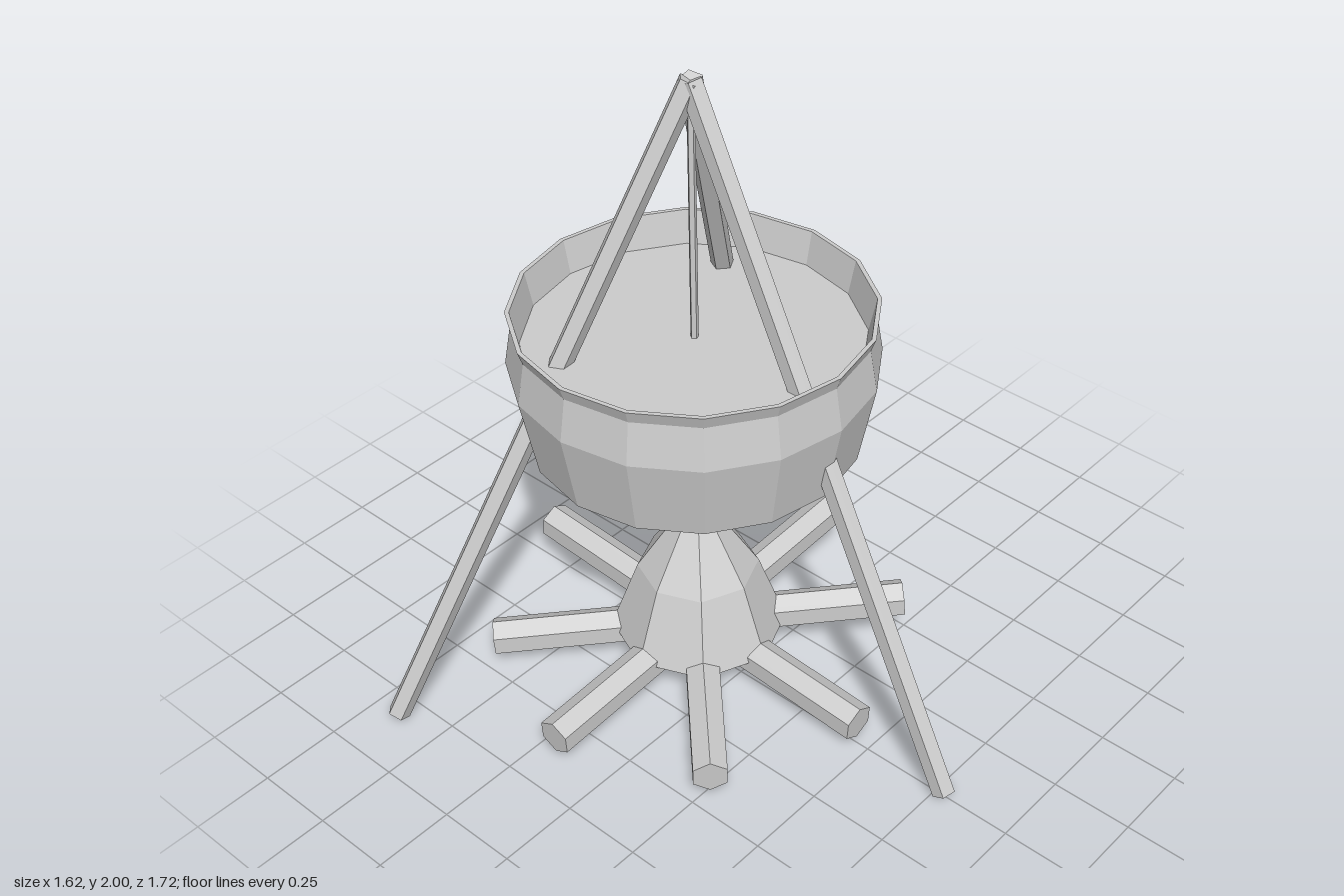
import * as THREE from 'three';

const CENTER_X = -0.174;
const BROTH_Y = 1.185;

export function createModel() {
  const root = new THREE.Group();
  root.name = 'campfireCauldron';
  const grey = new THREE.MeshStandardMaterial({ color: 0xcccccc, flatShading: true });
  grey.name = 'plain grey';

  const camp = new THREE.Group();
  camp.name = 'camp';
  camp.position.x = CENTER_X;
  root.add(camp);

  const add = (name, geometry) => {
    const mesh = new THREE.Mesh(geometry, grey);
    mesh.name = name;
    camp.add(mesh);
    return mesh;
  };

  // Faceted body of revolution from [radius, y] pairs, bottom to top
  const turned = (points, sides) =>
    new THREE.LatheGeometry(points.map(([r, y]) => new THREE.Vector2(r, y)), sides);

  // Straight bar between two points
  const up = new THREE.Vector3(0, 1, 0);
  const bar = (name, a, b, radius, sides, spin) => {
    const dir = b.clone().sub(a);
    const geometry = new THREE.CylinderGeometry(radius, radius, dir.length(), sides);
    geometry.rotateY(spin);
    const mesh = add(name, geometry);
    mesh.position.copy(a).add(b).multiplyScalar(0.5);
    mesh.quaternion.setFromUnitVectors(up, dir.normalize());
  };

  // Cauldron: outer wall, flared lip, inner wall down to the broth
  add('cauldron', turned([
    [0, 0.72], [0.255, 0.72], [0.485, 0.87], [0.533, 1.12], [0.511, 1.25],
    [0.525, 1.29], [0.512, 1.29], [0.49, BROTH_Y],
  ], 16));

  // Broth surface
  const broth = add('broth', new THREE.CircleGeometry(0.49, 16).rotateX(-Math.PI / 2));
  broth.position.y = BROTH_Y;

  // Hanging rod from the apex into the broth
  bar('hangingRod', new THREE.Vector3(0, BROTH_Y - 0.02, 0), new THREE.Vector3(0, 1.98, 0), 0.012, 5, 0);

  // Tripod legs
  for (let i = 0; i < 3; i++) {
    const a = (i * Math.PI * 2) / 3;
    const foot = new THREE.Vector3(Math.cos(a) * 0.955, 0.015, Math.sin(a) * 0.955);
    bar('tripodLeg', foot, new THREE.Vector3(0, 1.986, 0), 0.035, 5, Math.PI - a);
  }

  // Flame
  add('flame', turned([[0, 0.12], [0.27, 0.12], [0.185, 0.35], [0, 0.63]], 8));

  // Crossed logs, each lower at its front or left end
  for (let i = 0; i < 4; i++) {
    const a = (i * Math.PI) / 4;
    const end = (s, y) => new THREE.Vector3(Math.cos(a) * s, y, Math.sin(a) * s);
    bar('log', end(-0.635, 0.17), end(0.635, 0.083), 0.058, 6, Math.PI / 2 - a);
  }
  return root;
}
